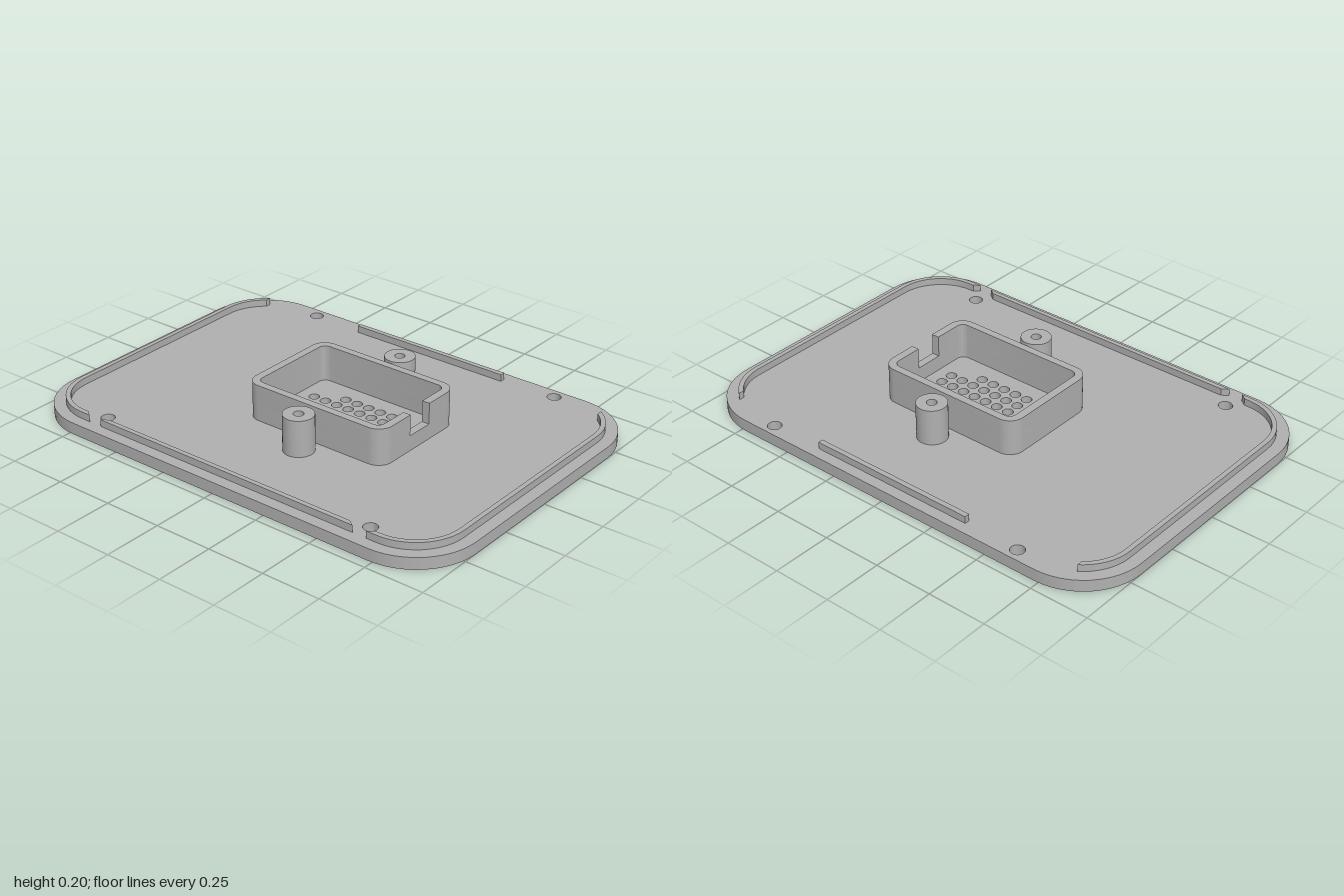
import * as THREE from 'three';
import { toCreasedNormals } from 'three/addons/utils/BufferGeometryUtils.js';

const PLATE_TOP = 0.05, LIP_TOP = 0.08, WALL_TOP = 0.205, NOTCH_Y = 0.115;

// Points along an arc in the plan (x, -z).
function arc(cx, cy, r, from, to, steps = 12) {
  return Array.from({ length: steps + 1 }, (_, i) => {
    const a = from + ((to - from) * i) / steps;
    return new THREE.Vector2(cx + r * Math.cos(a), cy + r * Math.sin(a));
  });
}

// Rounded rectangle running round from the middle of its +x side.
function roundedRect(cx, hx, hy, r) {
  const q = Math.PI / 2, x = hx - r, y = hy - r;
  return [[x, y], [-x, y], [-x, -y], [x, -y]]
    .flatMap(([px, py], i) => arc(cx + px, py, r, i * q, (i + 1) * q));
}

function circle(x, z, r, steps = 24) {
  return arc(x, -z, r, 0, Math.PI * 2, steps).slice(0, -1);
}

export function createModel() {
  const group = new THREE.Group();
  const grey = new THREE.MeshStandardMaterial({ color: 0xb0b0b0 });
  grey.name = 'grey plastic';

  // Raises a plan outline from y0 to y1.
  function slab(name, points, y0, y1, holes = []) {
    const shape = new THREE.Shape(points);
    shape.holes = holes.map((h) => new THREE.Path(h));
    const extruded = new THREE.ExtrudeGeometry(shape, { depth: y1 - y0, bevelEnabled: false });
    extruded.rotateX(-Math.PI / 2).translate(0, y0, 0);
    const mesh = new THREE.Mesh(toCreasedNormals(extruded, 0.6), grey);
    mesh.name = name;
    group.add(mesh);
  }
  const v = (x, z) => new THREE.Vector2(x, -z);

  // Base plate with screw holes and a speaker grille
  const cx = 0.094, pitch = 0.058;
  const holes = [[-0.617, -0.66], [0.614, -0.66], [-0.655, 0.59], [0.652, 0.59]]
    .map(([x, z]) => circle(x, z, 0.029));
  for (let row = -2; row <= 2; row++) {
    const half = Math.abs(row) === 2 ? 2 : 4;
    for (let col = -half; col <= half; col++) {
      holes.push(circle(cx + col * pitch, row * pitch, 0.022, 18));
    }
  }
  slab('basePlate', roundedRect(0, 1, 0.709, 0.27), 0, PLATE_TOP, holes);

  // Locating lip: two curved side pieces, a front strip and a back strip
  const endAngle = (r) => Math.acos(0.125 / r);
  const sideLip = [
    v(0.685, 0.66),
    ...arc(0.73, -0.44, 0.22, -Math.PI / 2, 0),
    ...arc(0.73, 0.44, 0.22, 0, endAngle(0.22)),
    ...arc(0.73, 0.44, 0.2, endAngle(0.2), 0),
    ...arc(0.73, -0.44, 0.2, 0, -Math.PI / 2),
    v(0.71, 0.64),
  ];
  for (const [name, s] of [['leftLip', 1], ['rightLip', -1]]) {
    slab(name, sideLip.map((p) => new THREE.Vector2(s * p.x, p.y)), PLATE_TOP, LIP_TOP);
  }
  slab('frontLip', [v(-0.625, 0.66), v(0.625, 0.66), v(0.598, 0.64), v(-0.598, 0.64)], PLATE_TOP, LIP_TOP);
  slab('backLip', [v(-0.373, -0.64), v(0.37, -0.64), v(0.37, -0.662), v(-0.373, -0.662)], PLATE_TOP, LIP_TOP);

  // Speaker housing: closed ring below, ring with a cable notch above
  const outer = roundedRect(cx, 0.335, 0.238, 0.063);
  const inner = roundedRect(cx, 0.301, 0.206, 0.03);
  slab('housingLower', outer, PLATE_TOP, NOTCH_Y, [inner]);
  const xo = cx + 0.335, xi = cx + 0.301, n = 0.06;
  slab('housingUpper', [
    v(xo, -n), ...outer, v(xo, n),
    v(xi, n), ...inner.slice().reverse(), v(xi, -n),
  ], NOTCH_Y, WALL_TOP);

  // Screw bosses in front of and behind the housing
  for (const [name, z] of [['frontBoss', 0.317], ['backBoss', -0.317]]) {
    slab(name, circle(cx, z, 0.063, 36), PLATE_TOP, WALL_TOP, [circle(cx, z, 0.021)]);
  }
  return group;
}
